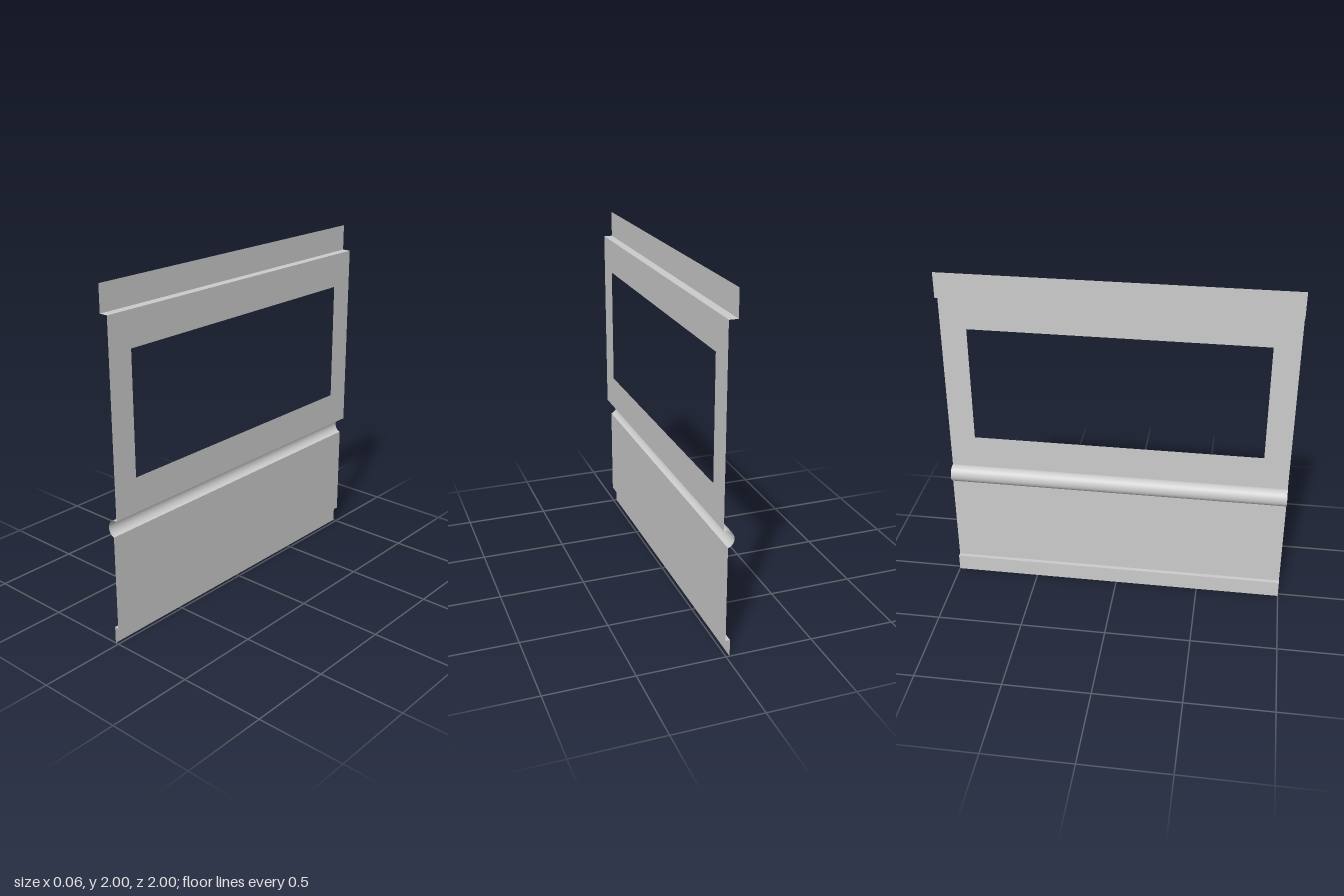
import * as THREE from 'three';

const WIDTH = 2; // along z

export function createModel() {
  const group = new THREE.Group();
  const material = new THREE.MeshStandardMaterial({ color: 0xcccccc, side: THREE.DoubleSide });

  function add(name, geometry) {
    const mesh = new THREE.Mesh(geometry, material);
    mesh.name = name;
    group.add(mesh);
  }

  // Thin sheet that follows an [x, y] profile, listed from top to bottom
  function addSheet(name, profile) {
    const geometry = new THREE.PlaneGeometry(WIDTH, 1, 1, profile.length - 1).rotateY(Math.PI / 2);
    const position = geometry.attributes.position;
    profile.forEach(([x, y], row) => {
      for (const i of [row * 2, row * 2 + 1]) position.setXYZ(i, x, y, position.getZ(i));
    });
    geometry.computeVertexNormals();
    add(name, geometry);
  }

  const flangeX = -0.02, windowX = 0.03, lowerX = 0.005;

  // Top flange and the ledge stepping out to the window panel
  addSheet('topFlange', [[flangeX, 2], [flangeX, 1.85]]);
  addSheet('topLedge', [[flangeX, 1.85], [windowX, 1.85]]);

  // Upper panel with its window opening
  const rectangle = (PathType, halfWidth, bottom, top) => new PathType([
    new THREE.Vector2(-halfWidth, bottom), new THREE.Vector2(halfWidth, bottom),
    new THREE.Vector2(halfWidth, top), new THREE.Vector2(-halfWidth, top),
  ]);
  const panel = rectangle(THREE.Shape, WIDTH / 2, 0.75, 1.85);
  panel.holes.push(rectangle(THREE.Path, 0.85, 0.95, 1.65));
  add('windowPanel', new THREE.ShapeGeometry(panel).rotateY(Math.PI / 2).translate(windowX, 0, 0));

  // Rounded groove joining the window panel to the lower panel
  const start = new THREE.Vector2(windowX, 0.75), end = new THREE.Vector2(lowerX, 0.65);
  const center = start.clone().add(end).multiplyScalar(0.5);
  const along = start.clone().sub(center);
  const inward = new THREE.Vector2(-along.y, along.x).setLength(0.047);
  const groove = [];
  for (let i = 0; i <= 24; i++) {
    const a = Math.PI * i / 24;
    const p = center.clone().addScaledVector(along, Math.cos(a)).addScaledVector(inward, Math.sin(a));
    groove.push([p.x, p.y]);
  }
  addSheet('groove', groove);

  // Lower panel, its step and the bottom flange
  addSheet('lowerPanel', [[lowerX, 0.65], [lowerX, 0.1]]);
  addSheet('bottomLedge', [[lowerX, 0.1], [flangeX, 0.1]]);
  addSheet('bottomFlange', [[flangeX, 0.1], [flangeX, 0]]);

  return group;
}
